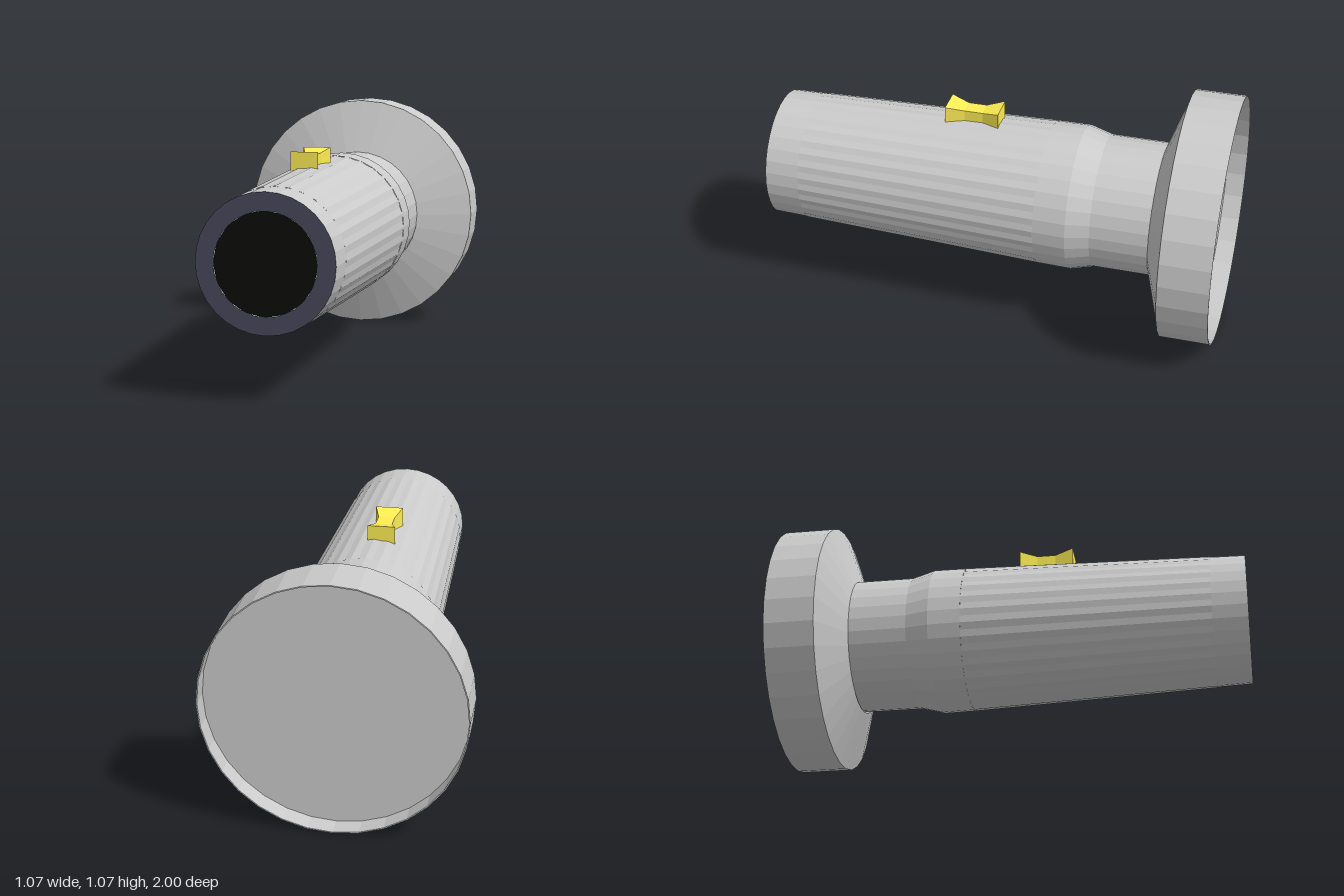
import * as THREE from 'three';

const paint = (color) => new THREE.MeshStandardMaterial({ color, flatShading: true, side: THREE.DoubleSide });
const grey = paint(0xcccccc);
const HEAD_Y = 0.54;

// Height of the body axis: it rises slightly toward the tail
const axisY = (z) => 0.546 + Math.max(0, z + 0.45) * 0.009;

// Revolve [radius, z] points about the z axis; ridge raises alternate columns
function turned(name, profile, sides, material, centreY, ridge = 0) {
  const geo = new THREE.LatheGeometry(profile.map(([r, z]) => new THREE.Vector2(r, z)), sides);
  geo.rotateX(Math.PI / 2);
  const p = geo.attributes.position;
  for (let i = 0; i < p.count; i++) {
    const column = Math.floor(i / profile.length);
    const k = column % 2 ? 1 - ridge : 1;
    p.setXYZ(i, p.getX(i) * k, p.getY(i) * k + centreY(p.getZ(i)), p.getZ(i));
  }
  const flat = geo.toNonIndexed();
  flat.computeVertexNormals();
  const mesh = new THREE.Mesh(flat, material);
  mesh.name = name;
  return mesh;
}

// Switch lofted from rectangular sections, pinched and dished in the middle
function slideSwitch() {
  const sections = [ // z, half width, top
    [0.015, 0.06, 0.92], [0.09, 0.036, 0.903], [0.17, 0.036, 0.903], [0.25, 0.06, 0.92],
  ];
  const pos = [], idx = [];
  for (const [z, w, top] of sections) {
    pos.push(-w, 0.835, z, w, 0.835, z, w, top, z, -w, top, z);
  }
  for (let s = 0; s < sections.length - 1; s++) {
    for (let j = 0; j < 4; j++) {
      const a = s * 4 + j, b = s * 4 + (j + 1) % 4;
      idx.push(a, b, b + 4, a, b + 4, a + 4);
    }
  }
  const e = (sections.length - 1) * 4;
  idx.push(0, 2, 1, 0, 3, 2, e, e + 1, e + 2, e, e + 2, e + 3);
  const geo = new THREE.BufferGeometry();
  geo.setAttribute('position', new THREE.Float32BufferAttribute(pos, 3));
  geo.setIndex(idx);
  const flat = geo.toNonIndexed();
  flat.computeVertexNormals();
  const mesh = new THREE.Mesh(flat, paint(0xffee55));
  mesh.name = 'slideSwitch';
  mesh.position.x = -0.03;
  return mesh;
}

export function createModel() {
  const torch = new THREE.Group();
  torch.name = 'flashlight';

  // Handle: neck and shoulder, ridged grip, tail collar
  torch.add(turned('neck', [[0.29, -0.72], [0.29, -0.45], [0.317, -0.35], [0.315, -0.21]], 32, grey, axisY));
  torch.add(turned('grip', [[0.315, -0.21], [0.284, 0.85]], 64, grey, axisY, 0.012));
  torch.add(turned('tailCollar', [[0.282, 0.845], [0.278, 1]], 32, grey, axisY));

  // Tail end: dark ring around a black cap
  torch.add(turned('tailRing', [[0.278, 1], [0.205, 1]], 32, paint(0x47475c), axisY));
  torch.add(turned('tailCap', [[0.207, 0.998], [0, 0.998]], 16, paint(0x0c0b0a), axisY));

  // Flared head with a thin rim and a recessed lens
  torch.add(turned('head', [
    [0.532, -0.915], [0.532, -1], [0.537, -1], [0.537, -0.785], [0.29, -0.7],
  ], 32, grey, () => HEAD_Y));
  torch.add(turned('lens', [[0, -0.915], [0.533, -0.915]], 32, grey, () => HEAD_Y));

  torch.add(slideSwitch());
  torch.position.y = -0.003;
  return torch;
}
